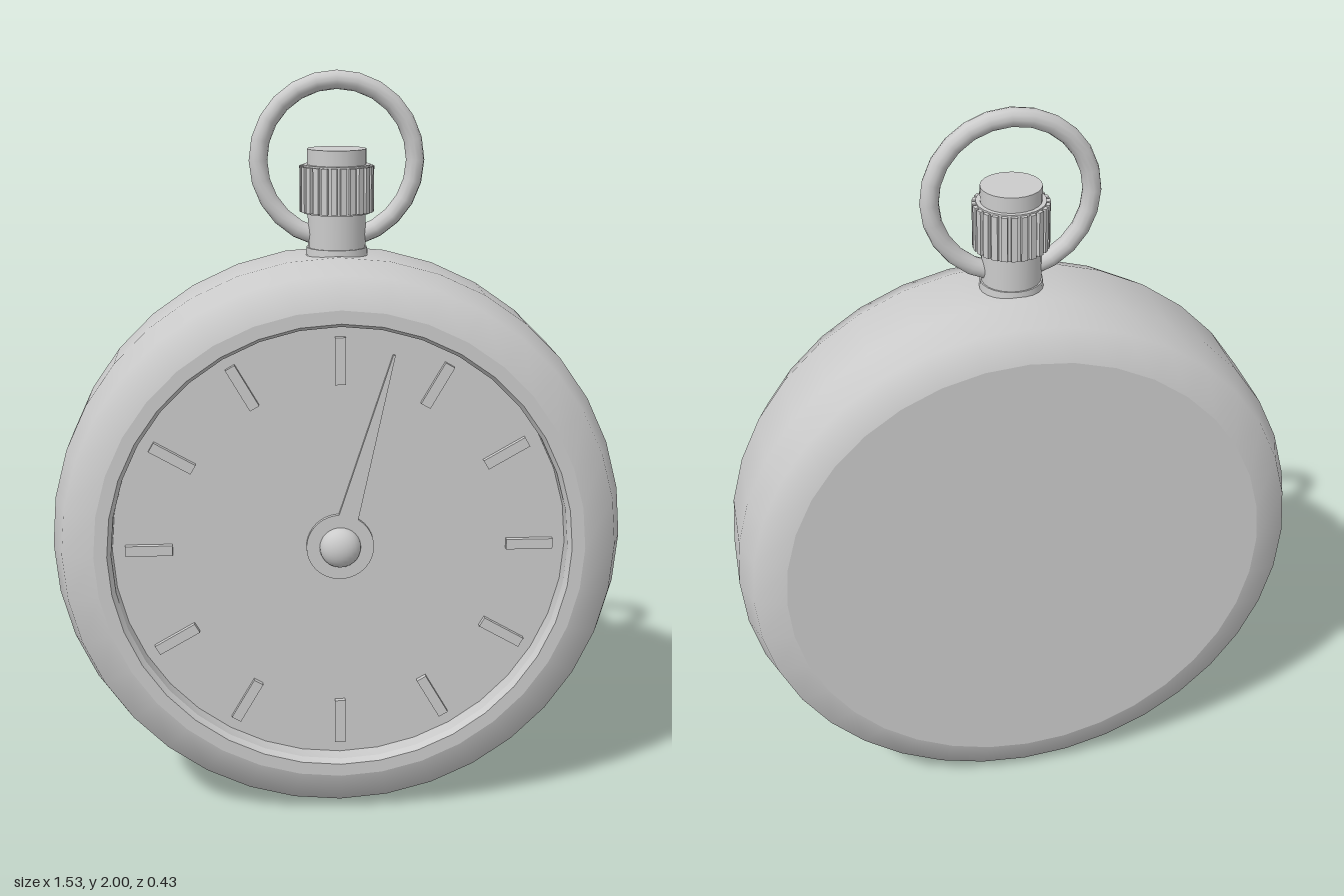
import * as THREE from 'three';
import { toCreasedNormals } from 'three/addons/utils/BufferGeometryUtils.js';

const SEG = 36;
const CENTRE_Y = 0.768;
const DIAL_Z = 0.155;

export function createModel() {
  const model = new THREE.Group();
  model.name = 'pocketWatch';
  const material = new THREE.MeshStandardMaterial({ color: 0xcccccc });

  const add = (parent, name, geometry, x = 0, y = 0, z = 0) => {
    const mesh = new THREE.Mesh(geometry, material);
    mesh.name = name;
    mesh.position.set(x, y, z);
    parent.add(mesh);
    return mesh;
  };
  // Lathe turned around the z axis; points are [radius, z]
  const turned = (points) =>
    new THREE.LatheGeometry(points.map(([r, z]) => new THREE.Vector2(r, z)), SEG).rotateX(Math.PI / 2);

  // Watch body, centred on the dial axis
  const watch = new THREE.Group();
  watch.name = 'watch';
  watch.position.y = CENTRE_Y;
  model.add(watch);

  add(watch, 'caseSide', turned([
    [0.65, -0.215], [0.735, -0.187], [0.766, -0.1],
    [0.766, 0.1], [0.735, 0.187], [0.65, 0.215],
  ]));
  add(watch, 'caseBack', new THREE.CircleGeometry(0.65, SEG).rotateY(Math.PI), 0, 0, -0.215);
  add(watch, 'bezel', toCreasedNormals(turned([
    [0.65, 0.215], [0.615, 0.215], [0.605, 0.2], [0.605, DIAL_Z],
  ]), 0.5));
  add(watch, 'dial', new THREE.CircleGeometry(0.606, SEG), 0, 0, DIAL_Z);

  // Hour markers
  for (let i = 0; i < 12; i++) {
    const a = (i * Math.PI) / 6;
    const marker = add(watch, 'hourMarker', new THREE.BoxGeometry(0.028, 0.125, 0.03),
      Math.sin(a) * 0.508, Math.cos(a) * 0.508, DIAL_Z);
    marker.rotation.z = -a;
  }

  // Hand: round boss running into a tapered pointer
  const R = 0.09;
  const half = 0.3;
  const outline = new THREE.Shape();
  outline.moveTo(0.003, 0.54);
  outline.lineTo(-0.003, 0.54);
  outline.lineTo(-R * Math.sin(half), R * Math.cos(half));
  outline.absarc(0, 0, R, Math.PI / 2 + half, Math.PI * 2.5 - half, false);
  outline.closePath();
  const hand = add(watch, 'hand',
    new THREE.ExtrudeGeometry(outline, { depth: 0.012, bevelEnabled: false, curveSegments: 24 }), 0, 0, DIAL_Z);
  hand.rotation.z = -0.262;

  add(watch, 'handPin', new THREE.SphereGeometry(0.055, 24, 16).scale(1, 1, 0.75), 0, 0, DIAL_Z + 0.012);

  // Winding stem and knurled crown
  const crown = new THREE.Group();
  crown.name = 'windingCrown';
  model.add(crown);
  const cylinder = (name, rTop, rBottom, y0, y1) =>
    add(crown, name, new THREE.CylinderGeometry(rTop, rBottom, y1 - y0, 24), 0, (y0 + y1) / 2, 0);
  cylinder('stemCollar', 0.08, 0.084, 1.5, 1.548);
  cylinder('stem', 0.076, 0.076, 1.5, 1.65);
  cylinder('crownCore', 0.088, 0.088, 1.637, 1.762);
  cylinder('crownCap', 0.077, 0.077, 1.75, 1.802);

  const RIBS = 24;
  for (let i = 0; i < RIBS; i++) {
    const a = ((i + 0.5) / RIBS) * Math.PI * 2;
    const rib = add(crown, 'crownRib', new THREE.BoxGeometry(0.016, 0.117, 0.02),
      Math.sin(a) * 0.087, 1.6995, Math.cos(a) * 0.087);
    rib.rotation.y = a;
  }

  // Bow: ring whose lower part passes into the stem
  add(model, 'bow', new THREE.TorusGeometry(0.204, 0.024, 12, 24), 0, 1.772, 0);

  return model;
}
